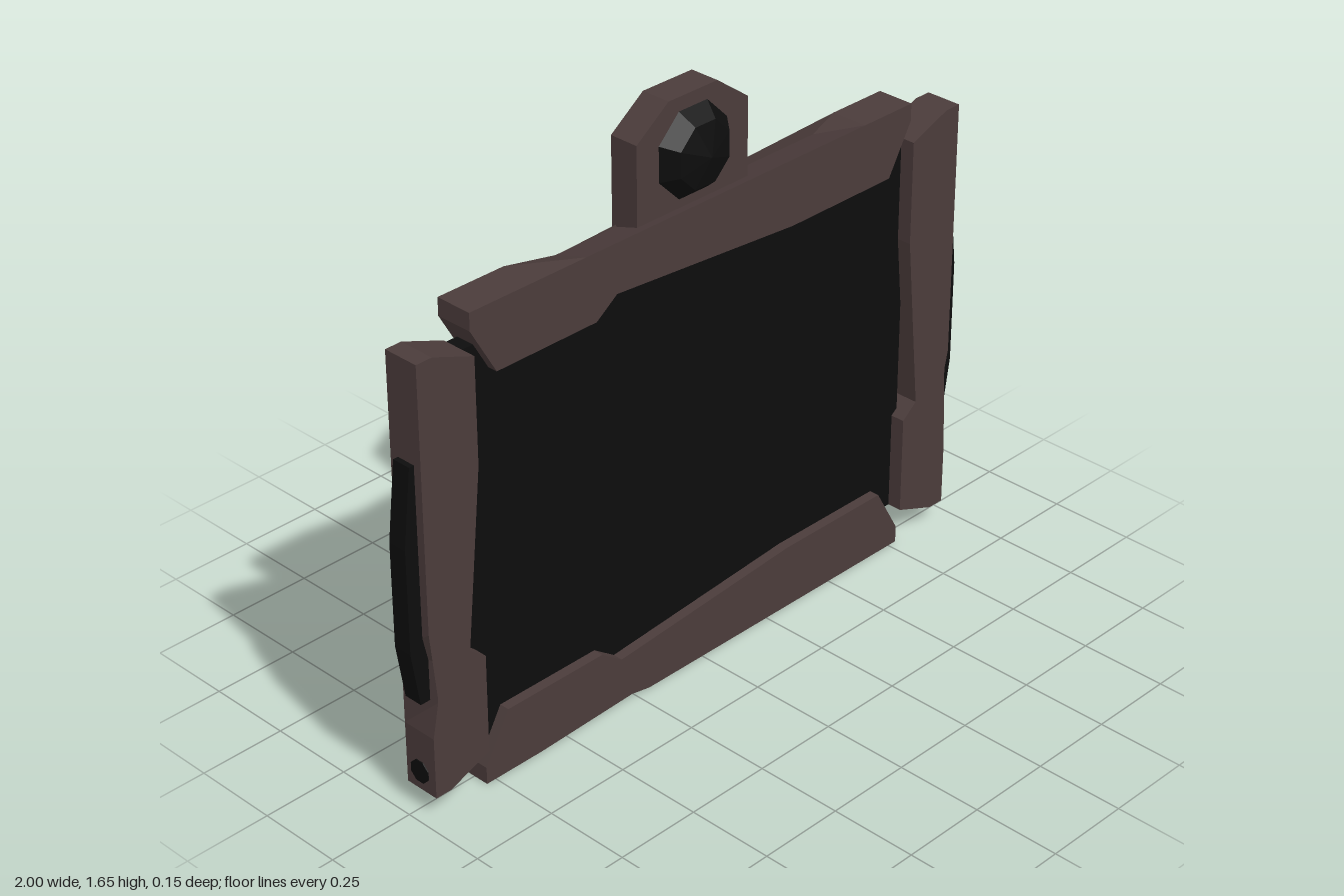
import * as THREE from 'three';

const brown = new THREE.MeshStandardMaterial({ color: 0x4b3c3b, flatShading: true });
brown.name = 'frame brown';
const black = new THREE.MeshStandardMaterial({ color: 0x0d0d0d, flatShading: true });
black.name = 'glass black';

// Prism from an outline in x/y between two depths, with an optional vertex rule
function prism(name, points, z0, z1, material, rule) {
  const shape = new THREE.Shape(points.map(([x, y]) => new THREE.Vector2(x, y)));
  const geo = new THREE.ExtrudeGeometry(shape, { depth: z1 - z0, bevelEnabled: false });
  geo.translate(0, 0, z0);
  if (rule) {
    const pos = geo.attributes.position;
    const v = new THREE.Vector3();
    for (let i = 0; i < pos.count; i++) {
      rule(v.fromBufferAttribute(pos, i));
      pos.setXYZ(i, v.x, v.y, v.z);
    }
    geo.computeVertexNormals();
  }
  const mesh = new THREE.Mesh(geo, material);
  mesh.name = name;
  return mesh;
}

export function createModel() {
  const model = new THREE.Group();
  model.name = 'tablet';

  // Dark panel held by the frame
  const panel = new THREE.Mesh(new THREE.BoxGeometry(1.6, 1.14, 0.055), black);
  panel.name = 'screen';
  panel.position.set(0, 0.68, -0.01);
  model.add(panel);

  // Lower and upper bars: notched inner edge, outer edge partly cut away
  const inner = [[0.78, 0.05], [0.7, 0.19], [0.33, 0.19], [-0.3, 0.14], [-0.37, 0.19], [-0.7, 0.19], [-0.78, 0.05]];
  const lower = [[-0.78, 0], [-0.59, 0], [-0.52, 0], [-0.36, 0], [-0.2, 0], [0.78, 0], ...inner];
  model.add(prism('bottomBar', lower, -0.06, 0.047, brown, (v) => {
    if (v.y < 0.01 && v.z > 0 && v.x > -0.55 && v.x < -0.3) v.y += 0.03;
  }));
  const upper = [[-0.78, 0], [-0.57, 0], [-0.4, 0], [0.52, 0], [0.6, 0], [0.78, 0], ...inner]
    .map(([x, y]) => [x, 1.36 - y]);
  model.add(prism('topBar', upper, -0.062, 0.047, brown, (v) => {
    if (v.y > 1.35 && v.z < 0 && v.x > -0.5 && v.x < 0.55) v.y -= 0.035;
  }));

  // Side bars, grips and sockets, mirrored
  const bar = [[0.96, 0.06], [0.96, 0.24], [0.96, 0.34], [0.96, 0.46], [0.96, 0.55], [0.96, 1.3],
    [0.91, 1.3], [0.78, 1.25], [0.78, 0.95], [0.83, 0.44], [0.78, 0.4], [0.78, 0.11], [0.91, 0.06]];
  const grip = [[0.93, 0.34], [0.975, 0.34], [1, 0.5], [1, 0.8], [0.975, 1.02], [0.93, 1.02]];
  for (const [side, s] of [['left', 1], ['right', -1]]) {
    const flip = (points) => points.map(([x, y]) => [x * s, y]);
    model.add(prism(side + 'Bar', flip(bar), -0.046, 0.06, brown, (v) => {
      if (Math.abs(v.x) > 0.95 && v.z > 0 && v.y > 0.3 && v.y < 0.5) v.x -= 0.02 * s;
    }));
    model.add(prism(side + 'Grip', flip(grip), -0.02, 0.036, black));
    const socket = new THREE.Mesh(new THREE.CylinderGeometry(0.034, 0.034, 0.008, 8), black);
    socket.name = side + 'Socket';
    socket.rotation.set(Math.PI / 8, 0, Math.PI / 2);
    socket.position.set(0.959 * s, 0.115, 0.003);
    model.add(socket);
  }

  // Lens mount plate running down the back of the top bar
  model.add(prism('lensMount', [[-0.195, 1.125], [0.195, 1.125], [0.195, 1.57], [0.085, 1.65],
    [-0.085, 1.65], [-0.195, 1.57]], -0.075, 0.012, brown));

  // Faceted eight-sided lens
  const profile = [[0.13, 0], [0.092, 0.043], [0, 0.066]].map(([r, h]) => new THREE.Vector2(r, h));
  const lensGeo = new THREE.LatheGeometry(profile, 8, Math.PI / 8);
  lensGeo.rotateX(Math.PI / 2);
  const lens = new THREE.Mesh(lensGeo, black);
  lens.name = 'lens';
  lens.position.set(0, 1.492, 0.011);
  model.add(lens);

  return model;
}
